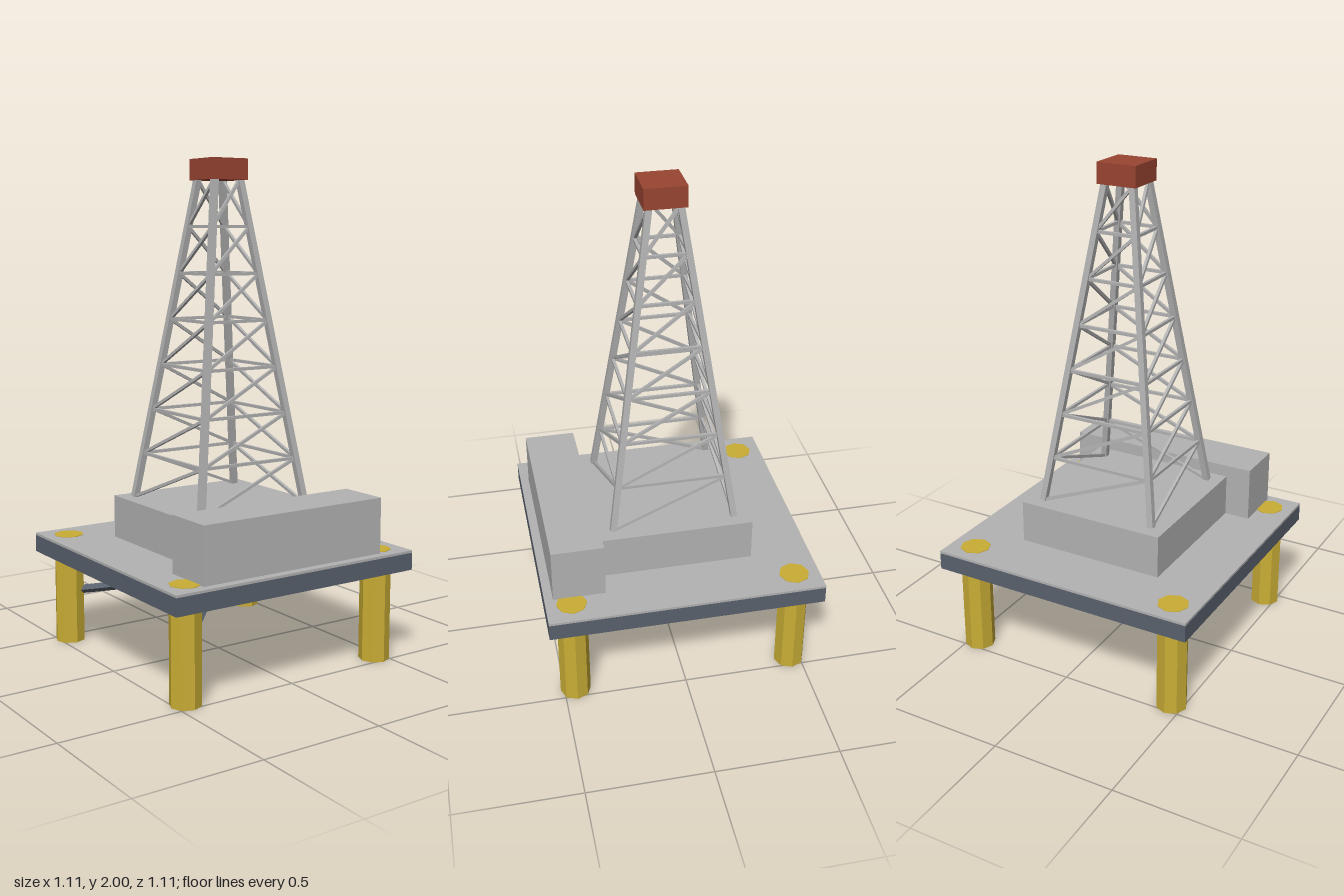
import * as THREE from 'three';

function flat(name, color) {
  const m = new THREE.MeshStandardMaterial({ color, flatShading: true });
  m.name = name;
  return m;
}

export function createModel() {
  const steel = flat('light grey steel', 0xb2b2b2);
  const dark = flat('dark slate steel', 0x59616d);
  const yellow = flat('yellow paint', 0xc9ad35);
  const red = flat('rust red paint', 0x9a4532);

  const model = new THREE.Group();
  model.name = 'drillingPlatform';

  function add(parent, name, geometry, material, x = 0, y = 0, z = 0) {
    const mesh = new THREE.Mesh(geometry, material);
    mesh.name = name;
    mesh.position.set(x, y, z);
    parent.add(mesh);
    return mesh;
  }

  // Box given by its centre in plan and its bottom and top heights
  function block(name, w, d, y0, y1, material, x = 0, z = 0) {
    return add(model, name, new THREE.BoxGeometry(w, y1 - y0, d), material, x, (y0 + y1) / 2, z);
  }

  // Square bar between two points
  function bar(parent, name, a, b, width, material) {
    const dir = b.clone().sub(a);
    const geometry = new THREE.BoxGeometry(width, dir.length(), width);
    const mesh = add(parent, name, geometry, material);
    mesh.position.copy(a).add(b).multiplyScalar(0.5);
    mesh.quaternion.setFromUnitVectors(new THREE.Vector3(0, 1, 0), dir.normalize());
    return mesh;
  }

  // Deck with its thin top plate
  block('deck', 1.114, 1.114, 0.375, 0.445, dark);
  block('deckPlate', 1.114, 1.114, 0.445, 0.455, steel);

  // Octagonal support legs, their tops showing through the deck
  const legTop = 0.457;
  for (const x of [-0.454, 0.454]) {
    for (const z of [-0.454, 0.454]) {
      add(model, 'supportLeg', new THREE.CylinderGeometry(0.062, 0.062, legTop, 8), yellow, x, legTop / 2, z);
    }
  }

  // Crossed braces under the deck, both rising toward +x
  for (const s of [-1, 1]) {
    bar(model, 'underdeckBrace',
      new THREE.Vector3(-0.454, 0.212, 0.454 * s),
      new THREE.Vector3(0.454, 0.412, -0.454 * s), 0.026, dark);
  }

  // Drill floor and the long cabin along the front
  block('drillFloor', 0.624, 0.624, 0.455, 0.63, steel);
  block('cabin', 0.836, 0.21, 0.455, 0.68, steel, 0, 0.417);

  // Tapered derrick: four legs, level rings and one diagonal per bay on each side
  const derrick = new THREE.Group();
  derrick.name = 'derrick';
  model.add(derrick);
  const bays = 7, baseY = 0.63, topY = 1.92;
  const corners = [[1, -1], [-1, -1], [-1, 1], [1, 1]];
  function node(corner, level) {
    const t = level / bays;
    const r = THREE.MathUtils.lerp(0.249, 0.06, t);
    const [sx, sz] = corners[corner % 4];
    return new THREE.Vector3(sx * r, THREE.MathUtils.lerp(baseY, topY, t), sz * r);
  }
  for (let c = 0; c < 4; c++) {
    bar(derrick, 'derrickLeg', node(c, 0), node(c, bays), 0.025, steel);
    for (let i = 0; i < bays; i++) {
      bar(derrick, 'diagonalBrace', node(c, i), node(c + 1, i + 1), 0.012, steel);
      if (i > 0) bar(derrick, 'ringBar', node(c, i), node(c + 1, i), 0.012, steel);
    }
  }

  // Crown block on top
  block('crownBlock', 0.166, 0.166, 1.917, 2.0, red);

  return model;
}
